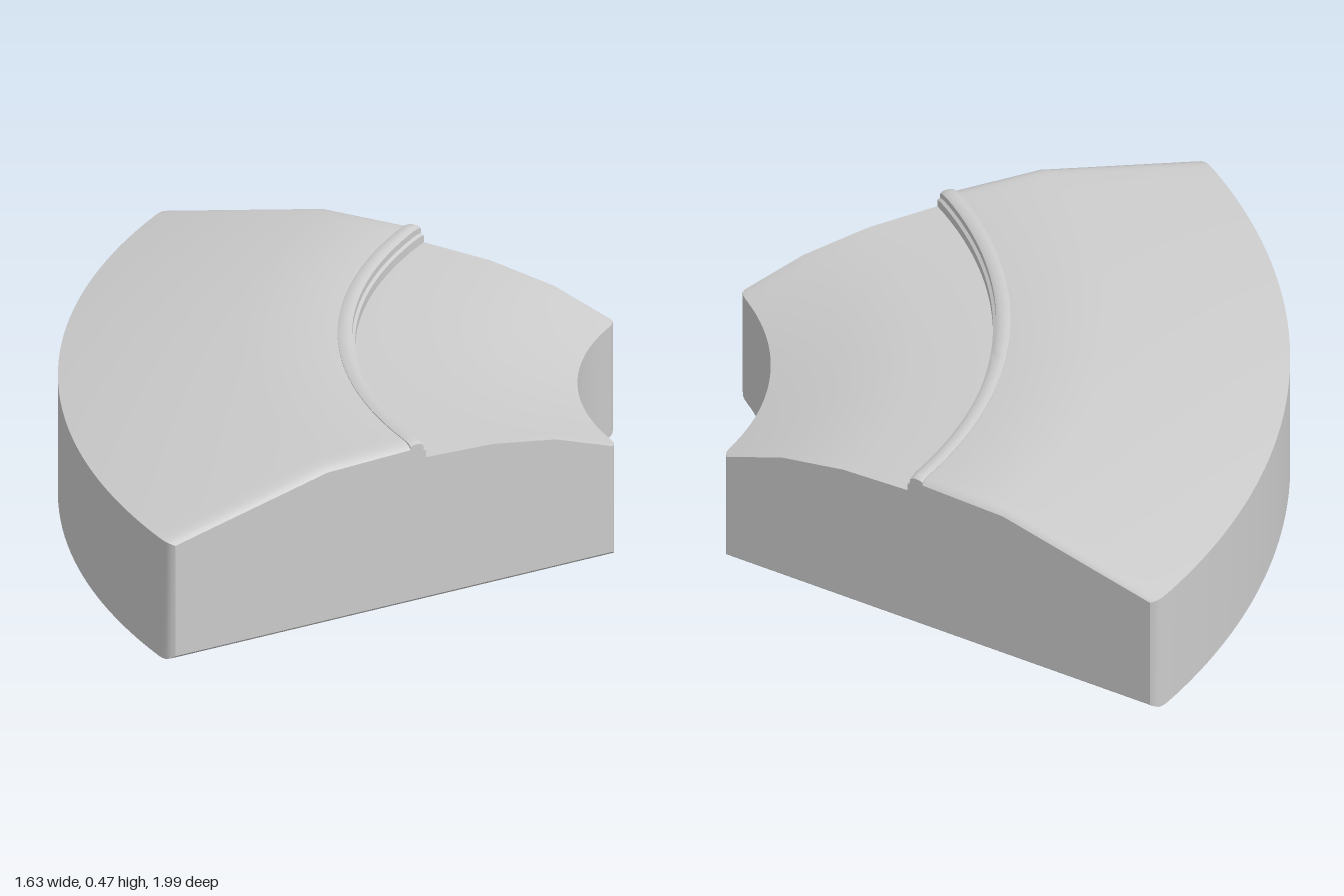
import * as THREE from 'three';
import { toCreasedNormals } from 'three/addons/utils/BufferGeometryUtils.js';

// Centre of the arc and the angles of its two end faces
const CX = 1.33, CZ = -0.65;
const START = THREE.MathUtils.degToRad(-9.6), END = THREE.MathUtils.degToRad(50.2);
const STEPS = 40;

// Distance of the edge columns from an end face; 'ease' fades the edge rounding to zero
const EDGE = [
  { d: 0, ease: 1 }, { d: 0.008, ease: 0.5 }, { d: 0.02, ease: 0.18 },
  { d: 0.036, ease: 0.04 }, { d: 0.055, ease: 0 },
];

// Sweep a closed counter-clockwise section round the arc.
// Each point is [radius, height, radius shift at ends, height shift at ends].
function sweep(section) {
  const columns = [];
  const lastD = EDGE[EDGE.length - 1].d;
  const column = (ease, angleAt) => columns.push(section.map(([r0, y0, dr, dy]) => {
    const r = r0 + dr * ease, a = angleAt(r);
    return new THREE.Vector3(CX - r * Math.cos(a), y0 + dy * ease, CZ + r * Math.sin(a));
  }));
  for (const { d, ease } of EDGE) column(ease, r => START + Math.asin(d / r));
  for (let i = 1; i < STEPS; i++) {
    column(0, r => {
      const inset = Math.asin(lastD / r);
      return THREE.MathUtils.lerp(START + inset, END - inset, i / STEPS);
    });
  }
  for (const { d, ease } of [...EDGE].reverse()) column(ease, r => END - Math.asin(d / r));

  const positions = [];
  const tri = (...points) => points.forEach(p => positions.push(p.x, p.y, p.z));
  const n = section.length;
  for (let j = 0; j < columns.length - 1; j++) {
    const A = columns[j], B = columns[j + 1];
    for (let i = 0; i < n; i++) {
      const k = (i + 1) % n;
      tri(A[i], B[i], B[k]);
      tri(A[i], B[k], A[k]);
    }
  }
  // End faces
  const outline = section.map(([r, y, dr, dy]) => new THREE.Vector2(r + dr, y + dy));
  const first = columns[0], last = columns[columns.length - 1];
  for (const [a, b, c] of THREE.ShapeUtils.triangulateShape(outline, [])) {
    tri(first[a], first[b], first[c]);
    tri(last[a], last[c], last[b]);
  }
  const geometry = new THREE.BufferGeometry();
  geometry.setAttribute('position', new THREE.Float32BufferAttribute(positions, 3));
  return toCreasedNormals(geometry, 0.55);
}

export function createModel() {
  const group = new THREE.Group();
  group.name = 'curvedSegment';
  const material = new THREE.MeshStandardMaterial({ color: 0xcccccc });
  const add = (name, section) => {
    const mesh = new THREE.Mesh(sweep(section), material);
    mesh.name = name;
    group.add(mesh);
  };

  // Solid wedge: flat base, sloping outer top, lower rounded inner shelf
  add('body', [
    [0.79, 0, 0.016, 0.015],
    [2.15, 0, -0.02, 0.015],
    [2.15, 0.34, -0.02, -0.008],
    [1.67, 0.454, 0, -0.016],
    [1.405, 0.46, 0, -0.014],
    [1.385, 0.455, 0, -0.012],
    [1.385, 0.415, 0, 0],
    [1.17, 0.407, 0, 0],
    [0.98, 0.377, 0, 0],
    [0.79, 0.318, 0.016, 0],
  ]);

  // Thin raised lip along the step
  add('rimLip', [
    [1.372, 0.405, 0, 0],
    [1.418, 0.405, 0, 0],
    [1.418, 0.462, 0, -0.008],
    [1.408, 0.466, 0, -0.008],
    [1.39, 0.466, 0, -0.008],
    [1.38, 0.46, 0, -0.008],
    [1.38, 0.443, 0, -0.004],
    [1.372, 0.438, 0, -0.004],
  ]);
  return group;
}
